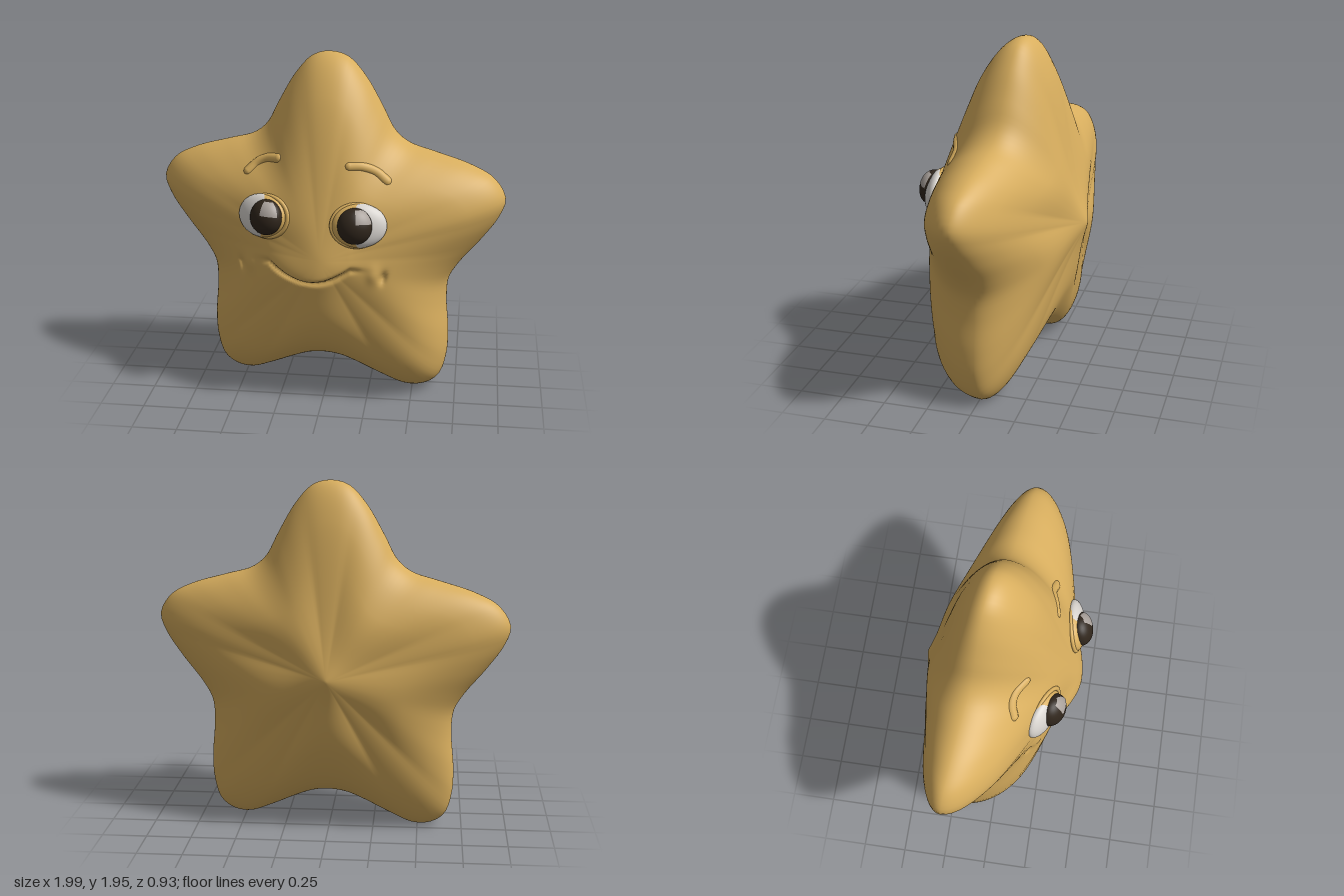
import * as THREE from 'three';
import { mergeVertices } from 'three/addons/utils/BufferGeometryUtils.js';

const paint = (name, color) => {
  const m = new THREE.MeshStandardMaterial({ color });
  m.name = name;
  return m;
};
const step = THREE.MathUtils.smoothstep;
const bell = (d, w) => Math.exp(-((d / w) ** 2));

// Right half of the star outline, from top tip to the gap between the legs
const HALF = [
  [0, 1.95], [0.1, 1.925], [0.2, 1.82], [0.3, 1.65], [0.37, 1.52], [0.45, 1.455],
  [0.6, 1.41], [0.8, 1.35], [0.93, 1.28], [0.995, 1.17], [0.965, 1.07], [0.87, 0.93],
  [0.75, 0.78], [0.695, 0.68], [0.685, 0.55], [0.7, 0.35], [0.695, 0.2], [0.655, 0.07],
  [0.58, 0.015], [0.48, 0.005], [0.35, 0.055], [0.2, 0.125], [0.1, 0.163], [0, 0.175],
];

// Smile groove, puffed upper lip and cheek dimples
function faceRelief(x, y) {
  const X = x + 0.07;
  const m = y - 0.752 - 0.08 * Math.min(1.1, (X / 0.22) ** 2);
  const along = Math.exp(-((X / 0.25) ** 6));
  let z = -0.035 * bell(m, 0.017) * along;
  z += 0.055 * step(m, -0.015, 0.02) * bell(m, 0.14) * bell(X, 0.2);
  for (const [cx, cy, s] of [[-0.47, 0.78, -1], [0.34, 0.79, 1]]) {
    z -= 0.025 * bell(x - cx, 0.018) * bell(y - cy, 0.03);
    z += 0.012 * bell(x - cx + s * 0.05, 0.035) * bell(y - cy - 0.02, 0.05);
  }
  return z;
}

// Puffy star: rings run from the front pole over the outline to the back pole
function starGeometry() {
  const N = 180, M = 280, CY = 0.9, SOFT = 0.15;
  const mirrored = HALF.slice(1, -1).reverse().map(([x, y]) => [-x, y]);
  const curve = new THREE.CatmullRomCurve3(
    [...HALF, ...mirrored].map(([x, y]) => new THREE.Vector3(x, y, 0)), true);
  curve.arcLengthDivisions = 1000;
  const outline = curve.getSpacedPoints(N);
  const pos = [], index = [];
  for (let j = 0; j <= M; j++) {
    const u = (j / M) * Math.PI;
    const t = j === M ? 0 : Math.sin(u);
    const front = j <= M / 2;
    // ring size, rounded off near the poles
    const s = (Math.hypot(t, SOFT) - SOFT) / (Math.hypot(1, SOFT) - SOFT);
    for (let i = 0; i < N; i++) {
      const dx = outline[i].x, dy = outline[i].y - CY;
      const R = Math.hypot(dx, dy);
      // contours are round at the middle and star-shaped at the rim
      const k = t * THREE.MathUtils.lerp(0.76 / R, 1, step(t, 0, 0.8));
      const x = dx * k, y = CY + dy * k;
      const valley = THREE.MathUtils.clamp((1 - R) / 0.4, 0, 1) * step(t, 0, 0.6);
      const power = (front ? 1 : 0.67) + 0.5 * valley;
      const puff = Math.max(0, 1 - s ** power) ** 0.52;
      // the legs swell forward, the back stays flatter
      const depth = front ? 0.435 * (1 + 0.7 * t * t * Math.max(0, -dy / R)) : -0.435;
      let z = -0.095 + 0.125 * x + 0.06 * (1 - s) + depth * puff;
      if (front) z += faceRelief(x, y) * (1 - step(t, 0.7, 0.95));
      pos.push(x, y, z);
      if (j < M) {
        const a = j * N + i, c = j * N + ((i + 1) % N), b = a + N, d = c + N;
        if (j > 0) index.push(a, c, b);
        else index.push(a, d, b);
        if (j > 0 && j < M - 1) index.push(c, d, b);
      }
    }
  }
  let g = new THREE.BufferGeometry();
  g.setAttribute('position', new THREE.Float32BufferAttribute(pos, 3));
  g.setIndex(index);
  g = mergeVertices(g, 1e-5);
  g.computeVertexNormals();
  return g;
}

export function createModel() {
  const gold = paint('gold', 0xd8ae5e);
  const white = paint('eye white', 0xd8d4cf);
  const dark = paint('dark brown', 0x30261c);
  const grey = paint('highlight grey', 0xa9a19b);

  const root = new THREE.Group();
  const add = (parent, name, geo, mat) => {
    const m = new THREE.Mesh(geo, mat);
    m.name = name;
    parent.add(m);
    return m;
  };
  const body = add(root, 'starBody', starGeometry(), gold);

  // Finds the front surface of the body at x, y
  const ray = new THREE.Raycaster();
  const surface = (x, y) => {
    ray.set(new THREE.Vector3(x, y, 3), new THREE.Vector3(0, 0, -1));
    return ray.intersectObject(body)[0].point;
  };

  // Eyes: white outer part, gold inner lid and rim, bulging pupil with highlight
  const eyes = [
    { name: 'leftEye', x: 0.21, px: -0.025, whiteFrom: 0.42, lidFrom: 0, lidSpan: 0.42 },
    { name: 'rightEye', x: -0.34, px: 0.045, whiteFrom: -0.42, lidFrom: 0.58, lidSpan: 0.42 },
  ];
  for (const { name, x, px, whiteFrom, lidFrom, lidSpan } of eyes) {
    const y = 1.09, e = 0.09, w = 0.15;
    const p = surface(x, y);
    const normal = new THREE.Vector3().crossVectors(
      surface(x + e, y).sub(surface(x - e, y)),
      surface(x, y + e).sub(surface(x, y - e))).normalize();
    const eye = new THREE.Group();
    eye.name = name;
    eye.position.copy(p);
    eye.lookAt(p.clone().add(normal));
    root.add(eye);

    const rim = add(eye, 'eyelidRim', new THREE.TorusGeometry(1, 0.1, 12, 48), gold);
    rim.scale.set(0.135, 0.115, 0.12);
    rim.position.set(px * 0.6, 0, -0.005);
    const part = (label, from, span, mat) =>
      add(eye, label, new THREE.SphereGeometry(1, 32, 28, from * Math.PI, span * Math.PI), mat)
        .scale.set(w, 0.12, 0.055);
    part('eyeWhite', whiteFrom, 1, white);
    part('innerLid', lidFrom, lidSpan, gold);

    const pupil = new THREE.Group();
    pupil.name = 'pupilGroup';
    pupil.position.set(px, 0, 0.03);
    pupil.scale.set(0.096, 0.099, 0.07);
    eye.add(pupil);
    add(pupil, 'pupil', new THREE.SphereGeometry(1, 36, 24), dark);
    add(pupil, 'highlight', new THREE.SphereGeometry(1.03, 16, 10,
      Math.PI * 0.5, Math.PI * 0.36, Math.PI * 0.16, Math.PI * 0.3), grey);
  }

  // Eyebrows: soft arcs sunk into the forehead
  const brows = {
    leftEyebrow: [[0.14, 1.385], [0.21, 1.38], [0.28, 1.35], [0.345, 1.3]],
    rightEyebrow: [[-0.26, 1.385], [-0.33, 1.37], [-0.39, 1.34], [-0.44, 1.295]],
  };
  for (const [name, pts] of Object.entries(brows)) {
    const brow = new THREE.Group();
    brow.name = name;
    root.add(brow);
    const path = pts.map(([x, y]) => surface(x, y).add(new THREE.Vector3(0, 0, -0.022)));
    add(brow, 'browArc',
      new THREE.TubeGeometry(new THREE.CatmullRomCurve3(path), 24, 0.03, 16), gold);
    for (const end of [path[0], path[3]])
      add(brow, 'browEnd', new THREE.SphereGeometry(0.03, 16, 12), gold).position.copy(end);
  }
  return root;
}
